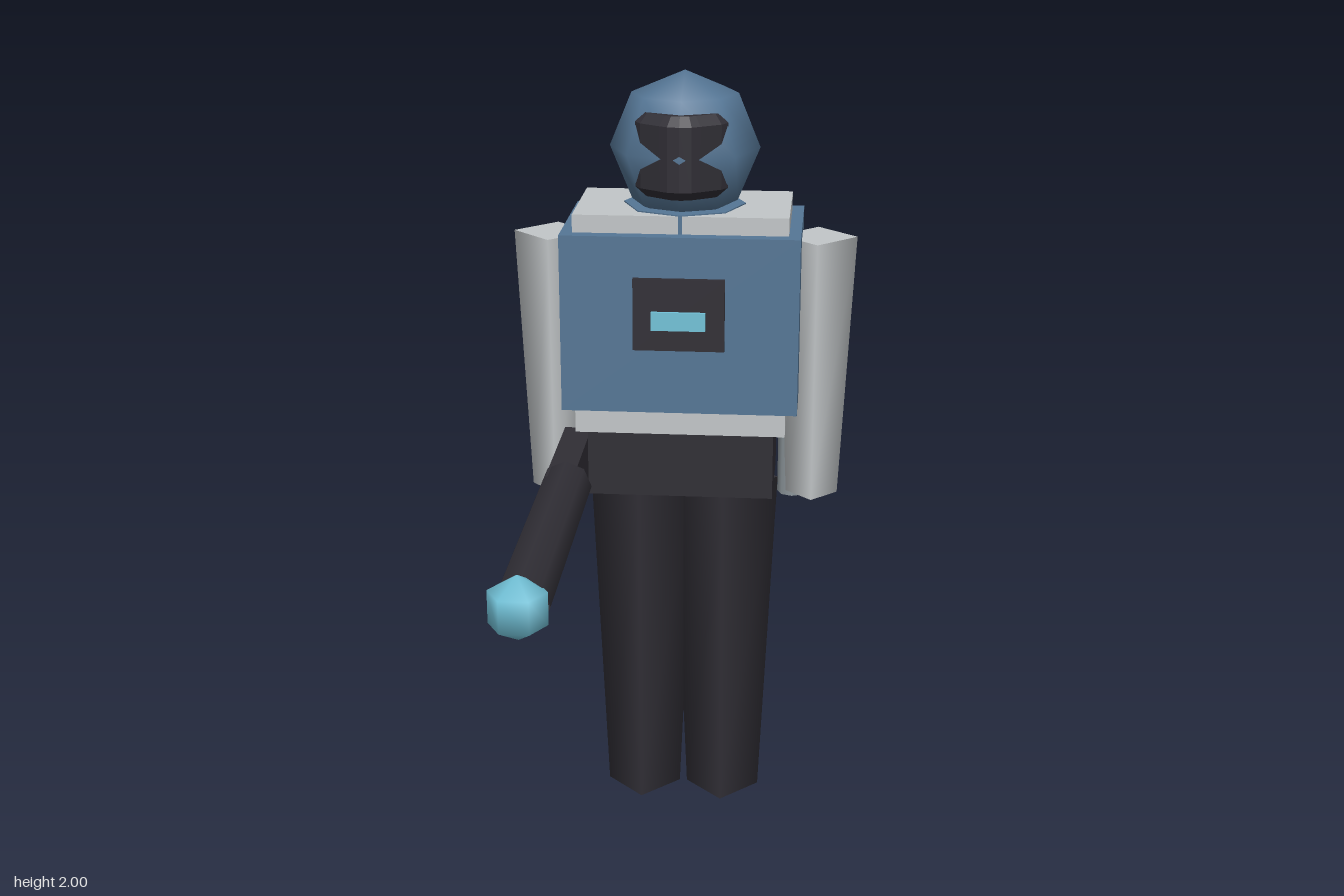
import * as THREE from 'three';

const mat = (name, color) => {
  const m = new THREE.MeshStandardMaterial({ color });
  m.name = name;
  return m;
};

export function createModel() {
  const blue = mat('armour blue', 0x557695);
  const light = mat('light grey', 0xc2c6c8);
  const grey = mat('mid grey', 0x8d969b);
  const dark = mat('charcoal', 0x302e35);
  const cyan = mat('glow cyan', 0x72c2d8);

  const model = new THREE.Group();
  model.name = 'trooper';
  const add = (name, geometry, material, x = 0, y = 0, z = 0) => {
    const mesh = new THREE.Mesh(geometry, material);
    mesh.name = name;
    mesh.position.set(x, y, z);
    model.add(mesh);
    return mesh;
  };
  // box given by its limits
  const box = (name, material, x0, x1, y0, y1, z0, z1) =>
    add(name, new THREE.BoxGeometry(x1 - x0, y1 - y0, z1 - z0), material,
      (x0 + x1) / 2, (y0 + y1) / 2, (z0 + z1) / 2);
  // upright tapered column given by its ends
  const column = (name, material, x, z, y0, y1, rTop, rBottom, sides) =>
    add(name, new THREE.CylinderGeometry(rTop, rBottom, y1 - y0, sides), material,
      x, (y0 + y1) / 2, z);

  const Z = -0.42; // body axis

  // body
  box('chestArmour', blue, -0.3, 0.3, 1.165, 1.62, -0.613, -0.232);
  box('innerTorso', light, -0.27, 0.27, 1.095, 1.665, -0.577, -0.267);
  box('pelvis', dark, -0.24, 0.24, 0.92, 1.095, -0.56, -0.28);
  box('chestPanel', dark, -0.115, 0.115, 1.333, 1.517, -0.24, -0.219);
  box('chestLight', cyan, -0.068, 0.068, 1.39, 1.437, -0.21, -0.201);

  // limbs, holsters and back tanks, mirrored
  for (const [side, s] of [['left', 1], ['right', -1]]) {
    column(side + 'Leg', dark, s * 0.11, Z, 0, 0.93, 0.14, 0.1, 4);
    column(side + 'Arm', light, s * 0.34, -0.425, 0.89, 1.585, 0.1, 0.068, 4);
    column(side + 'Hand', grey, s * 0.288, -0.475, 0.87, 1.03, 0.04, 0.04, 8);
    column(side + 'BackTank', grey, s * 0.09, -0.653, 1.105, 1.62, 0.09, 0.09, 4);
  }

  // head
  column('neck', blue, 0, Z, 1.6, 1.668, 0.155, 0.155, 8);
  add('helmet', new THREE.SphereGeometry(0.19, 8, 4), blue, 0, 1.81, Z);

  // visor: curved plan section, extruded upward with chamfered ends
  const half = [[0.03, -0.239], [0.05, -0.2515], [0.1, -0.285], [0.115, -0.31], [0.1, -0.37]];
  const plan = new THREE.Shape([
    new THREE.Vector2(0, -0.234),
    ...half.map(([x, z]) => new THREE.Vector2(x, z)),
    ...half.slice().reverse().map(([x, z]) => new THREE.Vector2(-x, z)),
  ]);
  const visor = new THREE.ExtrudeGeometry(plan, {
    depth: 0.16, bevelEnabled: true, bevelSegments: 1,
    bevelSize: 0.022, bevelThickness: 0.023, bevelOffset: -0.022,
  });
  visor.rotateX(Math.PI / 2);
  add('visor', visor, dark, 0, 1.89, 0);

  // gun held at the right hip, pointing forward
  box('gunBody', dark, -0.31, -0.24, 0.936, 1.074, -0.36, 0.01);
  add('gunBarrel', new THREE.CylinderGeometry(0.064, 0.064, 0.73, 8), dark, -0.268, 1.025, 0.305)
    .rotation.x = Math.PI / 2;
  add('gunTip', new THREE.SphereGeometry(0.077, 6, 3), cyan, -0.274, 1.026, 0.682);

  return model;
}
